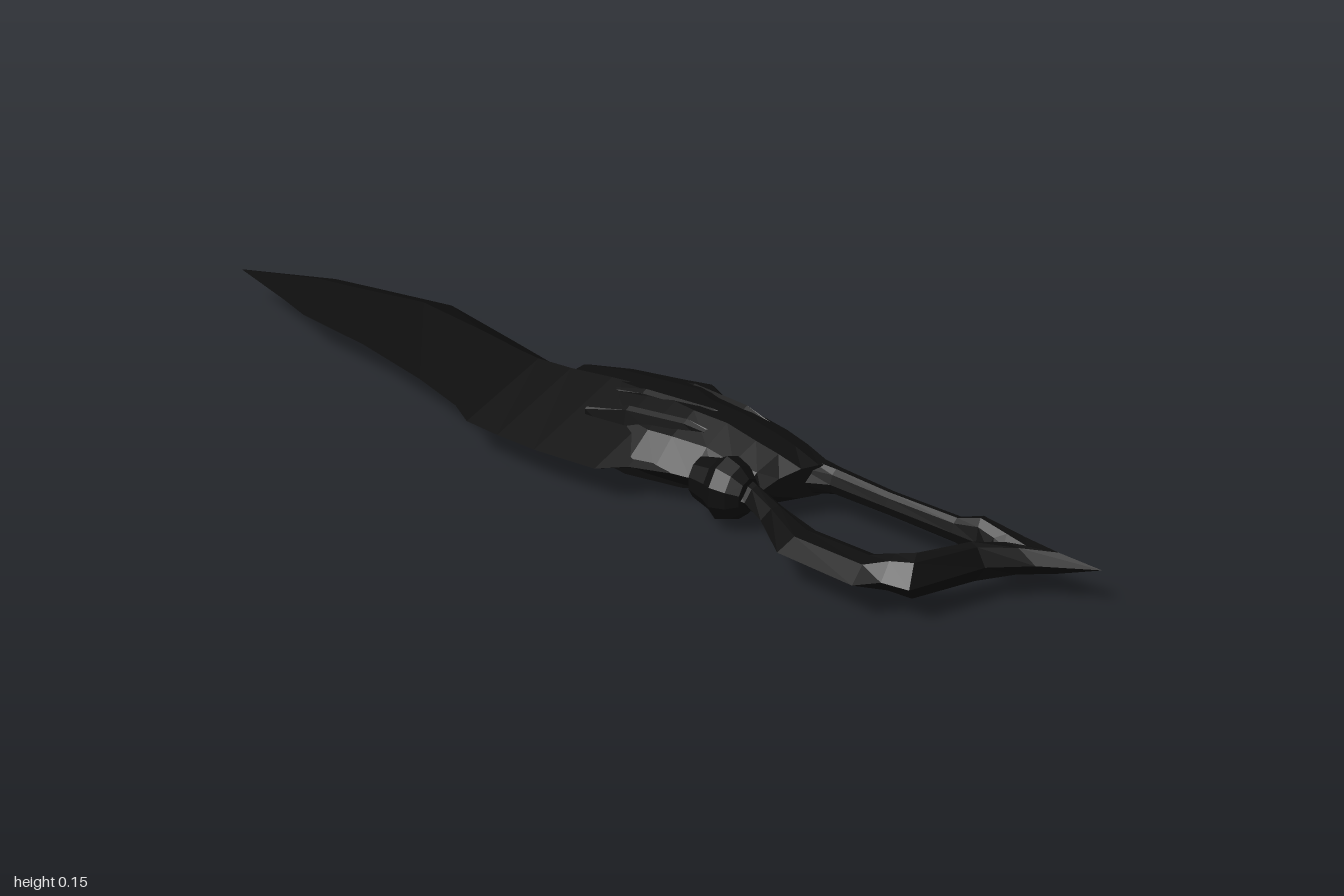
import * as THREE from 'three';

const MID = 0.076; // height of the flat symmetry plane

const darkMetal = new THREE.MeshStandardMaterial({ color: 0x0d0d0d, flatShading: true });
darkMetal.name = 'darkMetal';

// Closed loft, mirrored above and below the middle plane.
// station: [ax, az, bx, bz, halfThickness]; profile: [fraction from a to b, fraction of thickness]
function loft(name, stations, profile) {
  const ring = [
    [0, 0], ...profile, [1, 0],
    ...profile.slice().reverse().map(([t, h]) => [t, -h]),
  ];
  const n = ring.length, pos = [], index = [];
  for (const [ax, az, bx, bz, half] of stations) {
    for (const [t, h] of ring) pos.push(ax + (bx - ax) * t, MID + h * half, az + (bz - az) * t);
  }
  for (let i = 0; i < stations.length - 1; i++) {
    for (let k = 0; k < n; k++) {
      const a = i * n + k, b = i * n + (k + 1) % n;
      index.push(a, a + n, b, b, a + n, b + n);
    }
  }
  const last = (stations.length - 1) * n;
  for (let k = 1; k < n - 1; k++) {
    index.push(0, k, k + 1, last, last + k + 1, last + k);
  }
  const geo = new THREE.BufferGeometry();
  geo.setAttribute('position', new THREE.Float32BufferAttribute(pos, 3));
  geo.setIndex(index);
  geo.computeVertexNormals();
  const mesh = new THREE.Mesh(geo, darkMetal);
  mesh.name = name;
  return mesh;
}

export function createModel() {
  const group = new THREE.Group();
  group.name = 'dagger';

  // Curved blade with a central ridge: z, left edge, right edge, half thickness
  const blade = [
    [-1, 0, 0.001, 0], [-0.82, -0.045, 0.095, 0.016], [-0.74, -0.068, 0.115, 0.022],
    [-0.55, -0.085, 0.16, 0.034], [-0.36, -0.12, 0.125, 0.046], [-0.23, -0.155, 0.1, 0.054],
    [-0.17, -0.187, 0.1, 0.058], [-0.09, -0.19, 0.105, 0.063], [0, -0.188, 0.125, 0.068],
    [0.13, -0.17, 0.15, 0.07], [0.17, -0.125, 0.15, 0.07], [0.24, -0.095, 0.13, 0.06],
  ].map(([z, l, r, h]) => [l, z, r, z, h]);
  group.add(loft('blade', blade, [[0.68, 1]]));

  // Heavy guard body with a pointed fin on one edge
  group.add(loft('guard', [
    [-0.02, -0.1, 0.1, -0.1, 0.05],
    [-0.06, 0, 0.13, -0.01, 0.067],
    [-0.1, 0.1, 0.165, 0.1, 0.074],
    [-0.12, 0.16, 0.192, 0.15, 0.074],
    [-0.1, 0.21, 0.152, 0.2, 0.075],
    [-0.085, 0.28, 0.142, 0.28, 0.073],
    [-0.09, 0.34, 0.14, 0.36, 0.062],
    [-0.075, 0.385, 0.132, 0.41, 0.05],
    [-0.04, 0.405, 0.115, 0.48, 0.03],
  ], [[0.2, 0.6], [0.45, 0.97], [0.65, 1], [0.8, 0.86]]));

  // Diagonal folds rising slightly from the guard on both faces
  const folds = [
    [-0.07, 0.02, 0.0, 0.3, 0.07],
    [0.0, -0.02, 0.05, 0.34, 0.075],
    [0.1, 0.04, 0.085, 0.36, 0.072],
  ];
  for (const [x0, z0, x1, z1, h] of folds) {
    const stations = [0, 0.3, 0.7, 1].map((t) => {
      const x = x0 + (x1 - x0) * t, z = z0 + (z1 - z0) * t;
      const w = t === 0 || t === 1 ? 0.006 : 0.018;
      return [x - w, z, x + w, z, w < 0.01 ? h * 0.7 : h];
    });
    group.add(loft('guardFold', stations, [[0.3, 0.93], [0.6, 1]]));
  }

  // Faceted collar at the root of the bowed strut
  const collarProfile = [[0, -0.07], [0.04, -0.06], [0.05, -0.02], [0.062, 0], [0.052, 0.03], [0.034, 0.05], [0, 0.055]]
    .map(([r, y]) => new THREE.Vector2(r, y));
  const collar = new THREE.Mesh(new THREE.LatheGeometry(collarProfile, 10), darkMetal);
  collar.name = 'collar';
  collar.rotation.x = Math.PI / 2;
  collar.scale.x = 0.85;
  collar.position.set(-0.068, MID, 0.35);
  group.add(collar);

  // Open handle: bowed strut, pommel bar with spike, straight strut (outer point, inner point)
  group.add(loft('openHandle', [
    [-0.09, 0.36, -0.03, 0.37, 0.03],
    [-0.092, 0.41, -0.05, 0.415, 0.025],
    [-0.122, 0.47, -0.077, 0.49, 0.022],
    [-0.19, 0.56, -0.1, 0.58, 0.022],
    [-0.194, 0.72, -0.1, 0.7, 0.024],
    [-0.155, 0.75, -0.088, 0.74, 0.033],
    [-0.145, 0.8, -0.07, 0.765, 0.04],
    [0, 0.85, 0, 0.805, 0.038],
    [0.06, 0.91, 0.045, 0.83, 0.03],
    [0.122, 1, 0.05, 0.83, 0.024],
    [0.117, 0.9, 0.056, 0.815, 0.03],
    [0.122, 0.77, 0.06, 0.79, 0.038],
    [0.106, 0.74, 0.06, 0.74, 0.024],
    [0.106, 0.6, 0.06, 0.6, 0.022],
    [0.115, 0.48, 0.06, 0.48, 0.025],
    [0.132, 0.41, 0.03, 0.43, 0.035],
  ], [[0.4, 0.85], [0.7, 1], [0.9, 0.7]]));

  return group;
}
